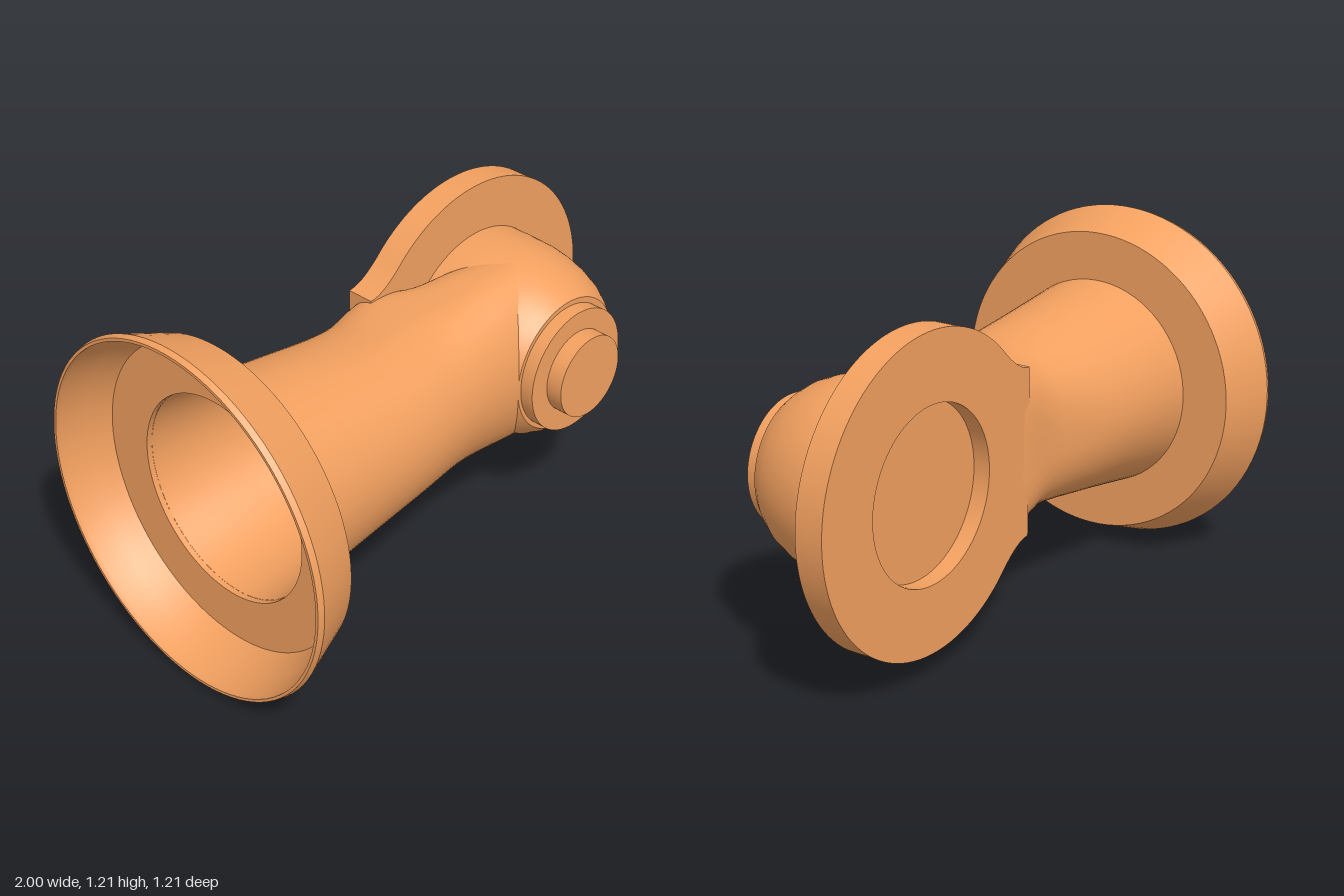
import * as THREE from 'three';
import { toCreasedNormals } from 'three/addons/utils/BufferGeometryUtils.js';

const CY = 0.61;   // height of the arm axis
const HX = 0.475;  // x of the round head
const material = new THREE.MeshStandardMaterial({ color: 0xf2a05f, side: THREE.DoubleSide });

function part(name, geometry, crease = 0.5) {
  const mesh = new THREE.Mesh(toCreasedNormals(geometry, crease), material);
  mesh.name = name;
  return mesh;
}

// profile of [radius, height] pairs turned about the y axis
function turned(profile) {
  return new THREE.LatheGeometry(profile.map(([r, h]) => new THREE.Vector2(r, h)), 96);
}

// arm cross-sections: x, half height, front z, back z, roundness of the back half
const SECTIONS = [
  [-0.81, 0.37, 0.37, -0.37, 1],
  [-0.5, 0.328, 0.338, -0.34, 1],
  [-0.2, 0.29, 0.305, -0.275, 0.75],
  [0, 0.287, 0.272, -0.26, 0.4],
  [0.15, 0.295, 0.255, -0.2, 0.5],
  [0.3, 0.315, 0.25, -0.19, 0.7],
  [0.47, 0.33, 0.245, -0.18, 1],
];

// smooth values of all section columns at x
function sectionAt(x) {
  let i = 0;
  while (i < SECTIONS.length - 2 && x > SECTIONS[i + 1][0]) i++;
  const at = (k) => SECTIONS[Math.min(Math.max(k, 0), SECTIONS.length - 1)];
  const [p, a, b, n] = [at(i - 1), at(i), at(i + 1), at(i + 2)];
  const w = b[0] - a[0], t = (x - a[0]) / w;
  return a.map((v, c) => {
    const m0 = (b[c] - p[c]) / (b[0] - p[0]) * w;
    const m1 = (n[c] - a[c]) / (n[0] - a[0]) * w;
    return v * (2 * t ** 3 - 3 * t * t + 1) + m0 * (t ** 3 - 2 * t * t + t)
      + b[c] * (3 * t * t - 2 * t ** 3) + m1 * (t ** 3 - t * t);
  });
}

// loft from the flange to xEnd; an inward loft is flipped and closed at its end
function armLoft(xEnd, scale, inward) {
  const steps = 40, sides = 72, pos = [], idx = [];
  const rows = inward ? steps + 1 : steps;
  for (let i = 0; i <= rows; i++) {
    const x = -0.81 + (xEnd + 0.81) * Math.min(i / steps, 1);
    const [, h, f, b, q] = sectionAt(x);
    const s = i > steps ? 0 : scale, mid = (f + b) / 2, depth = (f - b) / 2;
    for (let j = 0; j <= sides; j++) {
      const a = (j % sides) / sides * Math.PI * 2;
      const c = Math.cos(a), n = Math.sin(a), e = c < 0 ? q : 1;
      pos.push(x, Math.sign(n) * Math.abs(n) ** e * h * s,
        mid + Math.sign(c) * Math.abs(c) ** e * depth * s);
    }
  }
  const w = sides + 1;
  for (let i = 0; i < rows; i++) for (let j = 0; j < sides; j++) {
    const a = i * w + j, b = a + w;
    if (inward) idx.push(a, a + 1, b, b, a + 1, b + 1);
    else idx.push(a, b, a + 1, b, b + 1, a + 1);
  }
  const g = new THREE.BufferGeometry();
  g.setAttribute('position', new THREE.Float32BufferAttribute(pos, 3));
  g.setIndex(idx);
  return g;
}

// round plate with a flared neck towards the arm
function plateShape(holeRadius) {
  const s = new THREE.Shape();
  s.moveTo(-0.03, -0.287);
  s.quadraticCurveTo(0.026, -0.287, 0.107, -0.368);
  s.absarc(HX, 0, 0.52, -Math.PI * 0.75, Math.PI * 0.75, false);
  s.quadraticCurveTo(0.026, 0.287, -0.03, 0.287);
  s.closePath();
  if (holeRadius) s.holes.push(new THREE.Path().absarc(HX, 0, holeRadius, 0, Math.PI * 2, true));
  return s;
}

function plateLayer(z, depth, holeRadius) {
  return new THREE.ExtrudeGeometry(plateShape(holeRadius),
    { depth, bevelEnabled: false, curveSegments: 72 }).translate(0, 0, z);
}

export function createModel() {
  const model = new THREE.Group();
  model.name = 'flangedArm';
  const body = new THREE.Group();
  body.name = 'body';
  body.position.y = CY;
  model.add(body);

  // hollow dished flange
  const flange = turned([
    [0.59, -1], [0.6, -1], [0.606, -0.98], [0.575, -0.9], [0.54, -0.81],
    [0.352, -0.81], [0.352, -0.83], [0.522, -0.83], [0.56, -0.9], [0.59, -0.98], [0.59, -1],
  ]).rotateZ(-Math.PI / 2);
  body.add(part('flange', flange));

  // tapered arm and its bore
  body.add(part('arm', armLoft(0.47, 1, false), 0.9));
  body.add(part('armBore', armLoft(0.1, 0.95, true), 0.9));

  // domed head
  const dome = turned([
    [0.34, -0.18], [0.34, -0.1], [0.336, 0], [0.327, 0.06], [0.311, 0.12],
    [0.287, 0.18], [0.262, 0.22], [0.238, 0.25], [0, 0.25],
  ]).rotateX(Math.PI / 2).translate(HX, 0, 0);
  body.add(part('headDome', dome));

  // stepped boss on the head
  [['bossCollar', 0.22, 0.24, 0.3], ['bossCap', 0.147, 0.29, 0.36]].forEach(([name, r, z0, z1]) => {
    const g = new THREE.CylinderGeometry(r, r, z1 - z0, 72)
      .rotateX(Math.PI / 2).translate(HX - 0.005, 0, (z0 + z1) / 2);
    body.add(part(name, g));
  });

  // back plate with a shallow round recess
  body.add(part('plateFront', plateLayer(-0.2, 0.04, 0)));
  body.add(part('plateRecessRing', plateLayer(-0.26, 0.06, 0.29)));
  return model;
}
